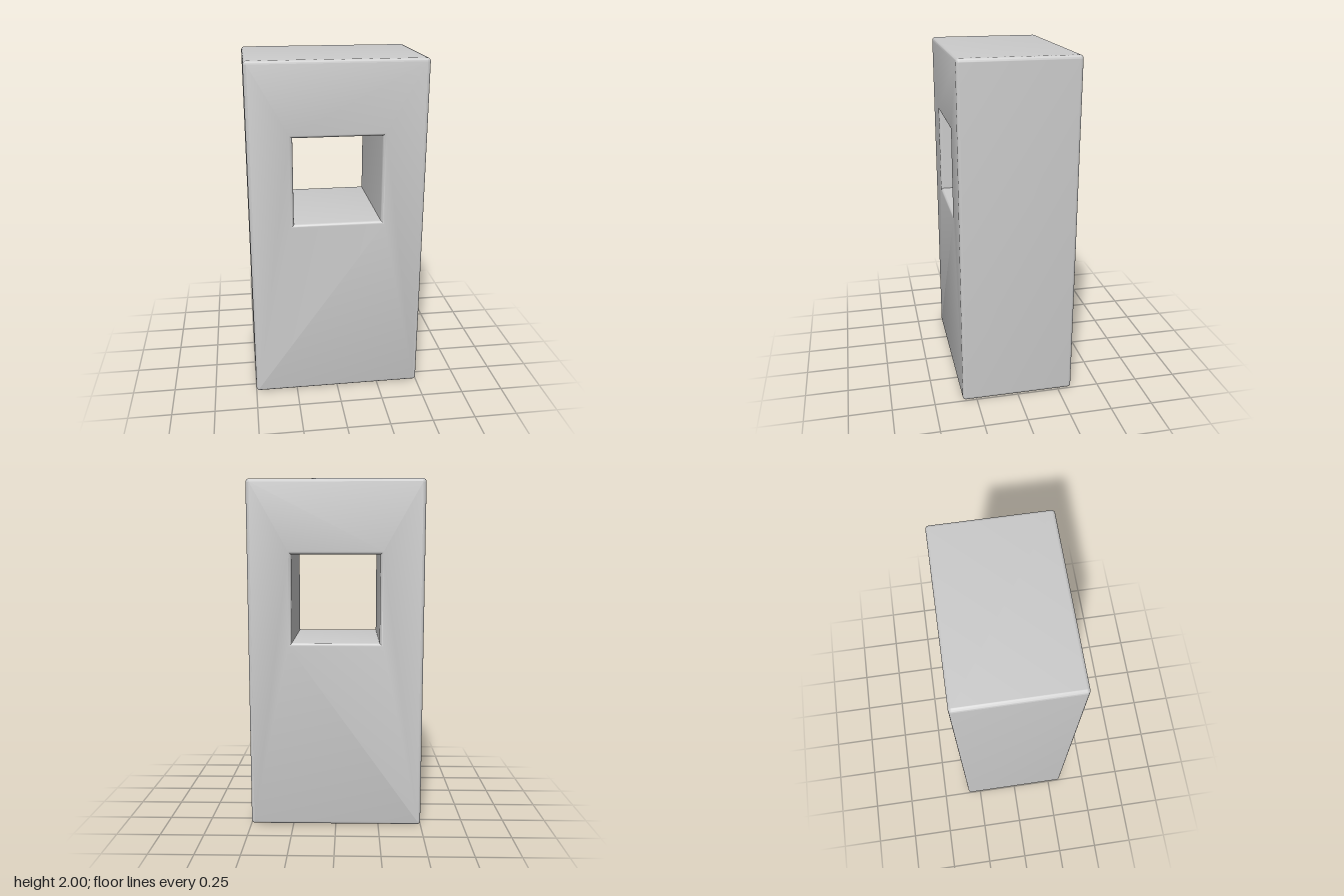
import * as THREE from 'three';
import { toCreasedNormals } from 'three/addons/utils/BufferGeometryUtils.js';

const WIDTH = 1, HEIGHT = 2, DEPTH = 0.665;
const BEVEL = 0.018, CORNER = 0.02;
const OPENING = 0.5, OPENING_Y = 1.333;

// Upright rectangle with rounded corners, standing on y = 0
function roundedOutline(w, h, r) {
  const x = w / 2, s = new THREE.Shape();
  s.absarc(x - r, r, r, -Math.PI / 2, 0);
  s.absarc(x - r, h - r, r, 0, Math.PI / 2);
  s.absarc(-x + r, h - r, r, Math.PI / 2, Math.PI);
  s.absarc(-x + r, r, r, Math.PI, Math.PI * 1.5);
  return s;
}

export function createModel() {
  const group = new THREE.Group();
  group.name = 'wallBlockWithOpening';

  // Square opening running right through the block
  const outline = roundedOutline(WIDTH, HEIGHT, CORNER);
  const a = OPENING / 2;
  outline.holes.push(new THREE.Path([
    new THREE.Vector2(-a, OPENING_Y - a),
    new THREE.Vector2(-a, OPENING_Y + a),
    new THREE.Vector2(a, OPENING_Y + a),
    new THREE.Vector2(a, OPENING_Y - a),
  ]));

  // Block with softly rounded edges, also around the opening
  const geometry = new THREE.ExtrudeGeometry(outline, {
    depth: DEPTH - 2 * BEVEL,
    curveSegments: 5,
    bevelEnabled: true,
    bevelThickness: BEVEL,
    bevelSize: BEVEL,
    bevelOffset: -BEVEL,
    bevelSegments: 5,
  });
  geometry.translate(0, 0, BEVEL - DEPTH / 2);

  const block = new THREE.Mesh(
    toCreasedNormals(geometry, THREE.MathUtils.degToRad(35)),
    new THREE.MeshStandardMaterial({ color: 0xcccccc }),
  );
  block.name = 'block';
  group.add(block);
  return group;
}
